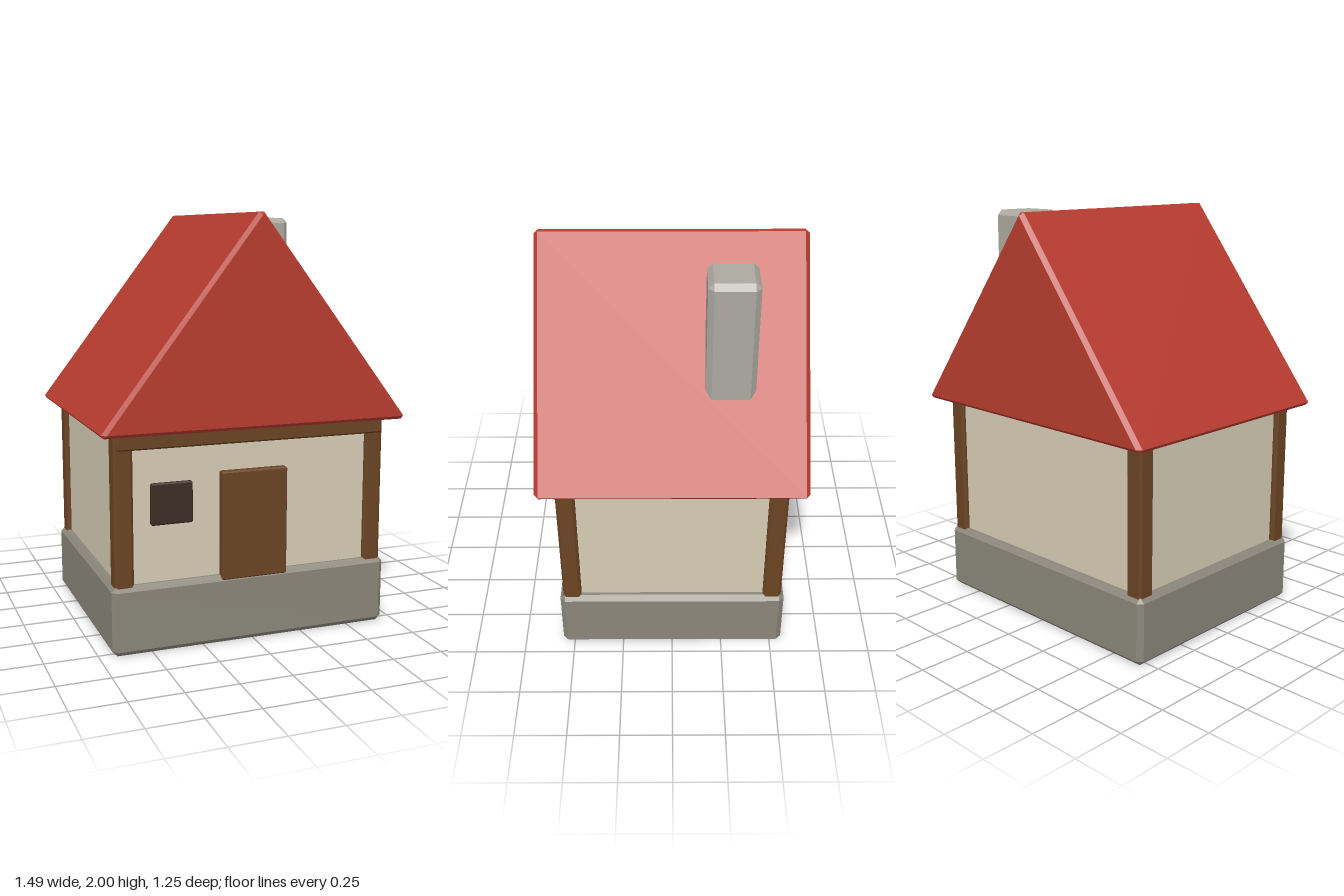
import * as THREE from 'three';
import { ConvexGeometry } from 'three/addons/geometries/ConvexGeometry.js';

const paint = (name, color) => Object.assign(new THREE.MeshStandardMaterial({ color }), { name });

// Box between two corners, with every edge cut by a flat bevel b
function bevelBox(min, max, b) {
  const mid = min.map((v, i) => (v + max[i]) / 2);
  const half = min.map((v, i) => (max[i] - v) / 2);
  const points = [];
  for (const sx of [-1, 1]) for (const sy of [-1, 1]) for (const sz of [-1, 1])
    for (let axis = 0; axis < 3; axis++) {
      const p = [sx, sy, sz].map((s, i) => mid[i] + s * (half[i] - (i === axis ? 0 : b)));
      points.push(new THREE.Vector3(...p));
    }
  return new ConvexGeometry(points);
}

// Solid gable roof with bevelled ridge, eaves and gable edges
function gableRoof() {
  const points = [];
  for (const sx of [-1, 1]) for (const sz of [-1, 1]) {
    for (const [x, y] of [[0.745, 1.046], [0.732, 1.03], [0.012, 2]])
      points.push(new THREE.Vector3(sx * x, y, sz * 0.607));
    points.push(new THREE.Vector3(sx * 0.722, 1.046, sz * 0.626));
  }
  for (const sz of [-1, 1]) points.push(new THREE.Vector3(0, 1.986, sz * 0.626));
  return new ConvexGeometry(points);
}

export function createModel() {
  const house = new THREE.Group();
  house.name = 'house';
  const stone = paint('foundation stone', 0x8a867a);
  const plaster = paint('plaster', 0xd6ccb5);
  const timber = paint('timber', 0x6b4423);
  const tile = paint('red roof', 0xb83c2f);
  const brick = paint('chimney stone', 0xaca8a0);
  const dark = paint('dark window', 0x3b2c24);

  const add = (name, geometry, material) => {
    const mesh = new THREE.Mesh(geometry, material);
    mesh.name = name;
    house.add(mesh);
  };

  // Body
  add('foundation', bevelBox([-0.69, 0, -0.557], [0.69, 0.33, 0.557], 0.024), stone);
  add('walls', bevelBox([-0.65, 0.3, -0.52], [0.65, 1.03, 0.52], 0.024), plaster);

  // Corner posts
  for (const sx of [-1, 1]) for (const sz of [-1, 1]) {
    const x = sx * 0.628, z = sz * 0.496;
    add(`${sz > 0 ? 'front' : 'back'}${sx > 0 ? 'Left' : 'Right'}Post`,
      bevelBox([x - 0.045, 0.3, z - 0.045], [x + 0.045, 1.03, z + 0.045], 0.012), timber);
  }

  // Front details
  add('frontBeam', bevelBox([-0.66, 0.957, 0.47], [0.66, 1.035, 0.555], 0.008), timber);
  add('door', bevelBox([-0.163, 0.31, 0.5], [0.163, 0.828, 0.56], 0.006), timber);
  add('window', bevelBox([-0.5, 0.6, 0.5], [-0.3, 0.795, 0.54], 0.006), dark);

  // Roof and chimney
  add('roof', gableRoof(), tile);
  add('chimney', bevelBox([0.25, 1.36, -0.38], [0.476, 1.986, -0.152], 0.026), brick);

  return house;
}
